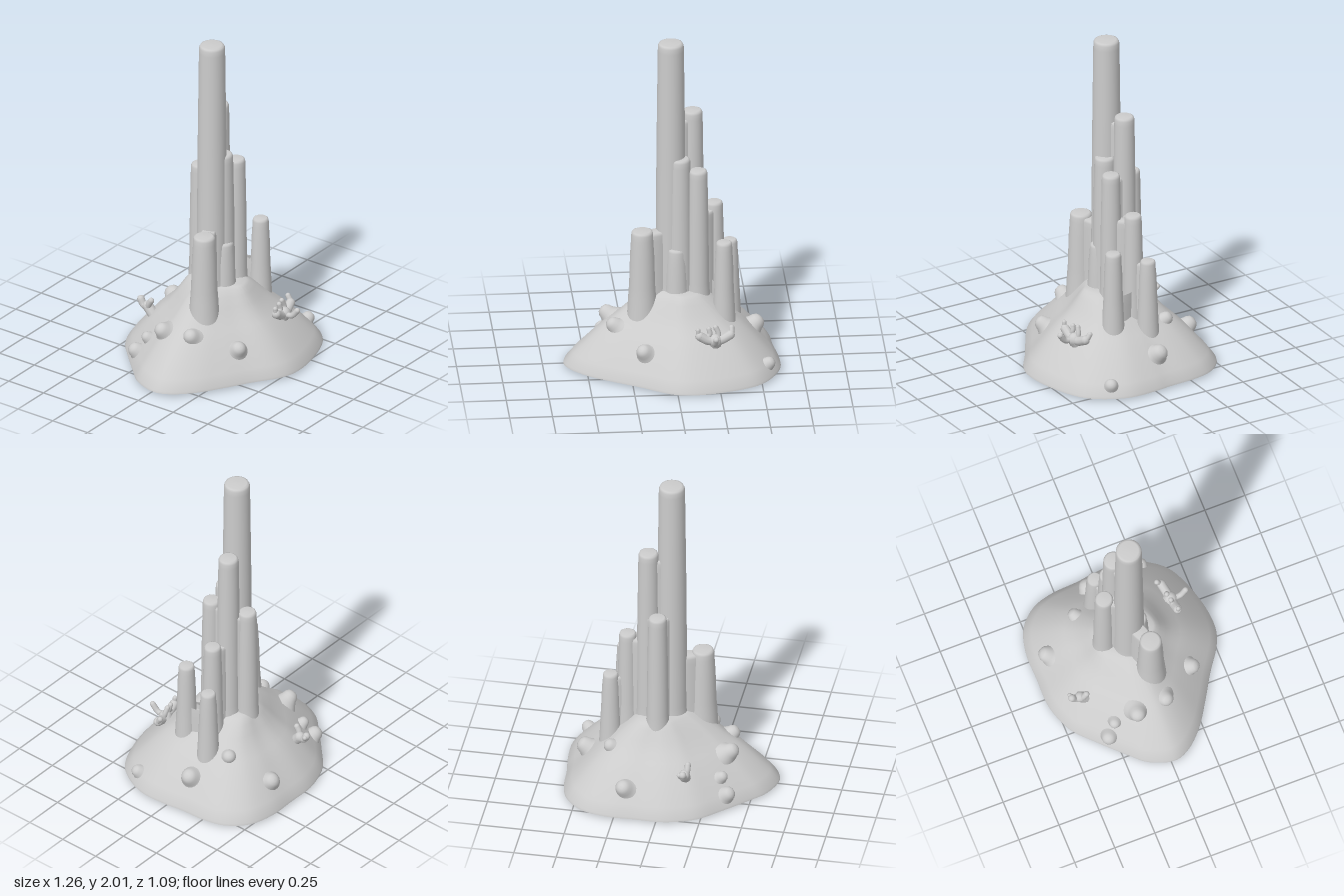
import * as THREE from 'three';
import { mergeVertices, toCreasedNormals } from 'three/addons/utils/BufferGeometryUtils.js';

const material = new THREE.MeshStandardMaterial({ color: 0xcccccc });
const V2 = (x, y) => new THREE.Vector2(x, y);
const V3 = (p) => new THREE.Vector3(...p);

function mesh(name, geometry, parent) {
  const m = new THREE.Mesh(geometry, material);
  m.name = name;
  parent.add(m);
  return m;
}

// Spreading mound: each ring is the irregular foot outline, shrunk toward the top
function moundGeometry() {
  const outline = [
    [0.05, 0.54], [0.2, 0.53], [0.4, 0.47], [0.5, 0.41], [0.58, 0.3], [0.625, 0.17], [0.62, 0],
    [0.605, -0.1], [0.59, -0.28], [0.55, -0.4], [0.45, -0.5], [0.3, -0.543], [0.13, -0.543],
    [-0.03, -0.543], [-0.13, -0.52], [-0.24, -0.47], [-0.35, -0.37], [-0.5, -0.22], [-0.58, -0.13],
    [-0.63, 0.02], [-0.6, 0.11], [-0.5, 0.22], [-0.35, 0.32], [-0.2, 0.41], [-0.05, 0.51],
  ];
  const segments = 112;
  const curve = new THREE.CatmullRomCurve3(outline.map(([x, z]) => V3([x, 0, z])), true);
  const ring = curve.getPoints(segments);
  // x scale, z scale, height
  const rows = [
    [0, 0, 0], [1, 1, 0], [0.995, 0.995, 0.012], [0.92, 0.92, 0.07], [0.81, 0.81, 0.14],
    [0.7, 0.7, 0.212], [0.6, 0.6, 0.265], [0.52, 0.52, 0.305], [0.43, 0.44, 0.36],
    [0.33, 0.38, 0.41], [0.26, 0.34, 0.44], [0.22, 0.31, 0.453], [0.16, 0.24, 0.457], [0, 0, 0.457],
  ];
  const geo = new THREE.LatheGeometry(rows.map((r) => V2(r[1], r[2])), segments);
  const pos = geo.attributes.position;
  for (let i = 0; i < pos.count; i++) {
    const p = ring[Math.floor(i / rows.length)];
    const [sx, sz, y] = rows[i % rows.length];
    pos.setXYZ(i, p.x * sx + 0.05 * (1 - sx), y, p.z * sz - 0.02 * (1 - sz));
  }
  geo.deleteAttribute('uv');
  geo.deleteAttribute('normal');
  return toCreasedNormals(mergeVertices(geo), 0.8);
}

// Round-topped column, widening downward and flaring into the mound
function columnGeometry(r, height, flare = 1) {
  const foot = 0.2;
  const at = (y, k) => V2(r * k, y);
  const mid = 0.5 + (height - 0.5) * 0.55;
  const base = 1 + 0.28 * flare;
  return new THREE.LatheGeometry([
    at(foot, base + 0.25 * flare), at(0.34, base + 0.08 * flare), at(0.43, base), at(0.5, 1 + 0.2 * flare),
    at(mid, 1 + 0.12 * flare), at(height - 0.05, 1.02), at(height - 0.018, 1),
    at(height - 0.005, 0.92), at(height, 0.76), V2(0, height + 0.001),
  ], 32);
}

// Rounded tube branch with ball ends
function branch(name, points, r, parent) {
  const path = new THREE.CatmullRomCurve3(points.map(V3));
  mesh(name, new THREE.TubeGeometry(path, 14, r, 10), parent);
  for (const p of [points[0], points[points.length - 1]]) {
    mesh(name + 'Tip', new THREE.SphereGeometry(r, 10, 8), parent).position.set(...p);
  }
}

export function createModel() {
  const model = new THREE.Group();
  model.name = 'rockSpire';
  mesh('mound', moundGeometry(), model);

  // Columns: x, z, radius, height
  const columns = new THREE.Group();
  columns.name = 'columns';
  model.add(columns);
  const spots = {
    main: [0, -0.02, 0.075, 2],
    tall: [0.13, -0.065, 0.058, 1.55],
    front: [0.155, 0.04, 0.053, 1.21],
    back: [0.06, -0.15, 0.053, 1.16],
    side: [0.255, -0.05, 0.05, 0.97],
    left: [-0.172, 0.05, 0.064, 0.84],
    outerFront: [0.3, 0.11, 0.047, 0.78],
    outerSide: [0.348, -0.095, 0.045, 0.705],
    innerButtress: [0.05, 0.02, 0.06, 1.28],
    frontButtress: [0.03, 0.045, 0.055, 0.72],
  };
  for (const [name, [x, z, r, h]] of Object.entries(spots)) {
    mesh(name + 'Column', columnGeometry(r, h), columns).position.set(x, 0, z);
  }

  // Webs fill the clefts between neighbouring columns
  const webs = [
    ['left', 'main', 0.82], ['main', 'back', 1.13], ['main', 'tall', 1.5], ['tall', 'back', 1.13],
    ['tall', 'front', 1.18], ['tall', 'side', 0.94], ['side', 'outerSide', 0.68],
    ['main', 'front', 1.18], ['side', 'front', 0.93], ['outerFront', 'side', 0.46],
  ];
  for (const [a, b, h] of webs) {
    const [ax, az, ar] = spots[a];
    const [bx, bz, br] = spots[b];
    const r = 0.7 * Math.min(ar, br);
    const web = mesh('columnWeb', columnGeometry(r, h, 0.6), columns);
    web.position.set((ax + bx) / 2, 0, (az + bz) / 2);
    web.rotation.y = -Math.atan2(bz - az, bx - ax);
    web.scale.x = Math.max(1, Math.hypot(bx - ax, bz - az) / 2 / r);
  }

  // Knobs leaning out of the slope: x, y, z, size
  const knobs = [
    [-0.37, 0.065, -0.285, 1], [-0.33, 0.15, -0.235, 0.75], [-0.355, 0.245, -0.105, 1.05],
    [-0.33, 0.25, 0.075, 1], [-0.175, 0.17, 0.295, 1], [0.54, 0.06, 0.265, 0.85],
    [0.485, 0.16, -0.08, 1.15], [0.315, 0.28, -0.225, 0.9], [0.2, 0.14, -0.44, 1.1],
  ];
  const knobGeometry = new THREE.LatheGeometry([
    V2(0.075, -0.03), V2(0.057, -0.006), V2(0.046, 0.014), V2(0.04, 0.034),
    V2(0.028, 0.05), V2(0.013, 0.056), V2(0, 0.057),
  ], 20);
  for (const [x, y, z, size] of knobs) {
    const knob = mesh('knob', knobGeometry, model);
    knob.position.set(x, y, z);
    knob.scale.setScalar(size);
    const out = V3([x - 0.05, 0, z]).normalize().setY(0.9).normalize();
    knob.quaternion.setFromUnitVectors(V3([0, 1, 0]), out);
  }

  // Branching coral on the front slope
  const frontCoral = new THREE.Group();
  frontCoral.name = 'frontCoral';
  model.add(frontCoral);
  branch('stem', [[0.23, 0.2, 0.3], [0.23, 0.25, 0.33]], 0.04, frontCoral);
  branch('arm', [[0.14, 0.285, 0.34], [0.19, 0.255, 0.335], [0.26, 0.25, 0.325], [0.32, 0.275, 0.31]], 0.027, frontCoral);
  branch('prong', [[0.155, 0.28, 0.34], [0.135, 0.295, 0.34], [0.13, 0.322, 0.34]], 0.014, frontCoral);
  branch('prong', [[0.18, 0.265, 0.33], [0.2, 0.29, 0.325], [0.195, 0.32, 0.32]], 0.015, frontCoral);
  branch('prong', [[0.25, 0.26, 0.32], [0.25, 0.29, 0.315], [0.235, 0.325, 0.31]], 0.015, frontCoral);
  branch('prong', [[0.29, 0.27, 0.31], [0.325, 0.28, 0.305], [0.33, 0.31, 0.285]], 0.016, frontCoral);
  branch('prong', [[0.225, 0.25, 0.34], [0.225, 0.255, 0.39], [0.23, 0.295, 0.425]], 0.017, frontCoral);

  // Small forked coral on the back slope
  const backCoral = new THREE.Group();
  backCoral.name = 'backCoral';
  model.add(backCoral);
  branch('stem', [[-0.14, 0.19, -0.34], [-0.14, 0.235, -0.38]], 0.032, backCoral);
  branch('prong', [[-0.145, 0.225, -0.37], [-0.14, 0.235, -0.41], [-0.14, 0.265, -0.43]], 0.022, backCoral);
  branch('prong', [[-0.15, 0.23, -0.37], [-0.155, 0.26, -0.36], [-0.155, 0.285, -0.345]], 0.018, backCoral);
  branch('prong', [[-0.14, 0.24, -0.405], [-0.125, 0.255, -0.43], [-0.12, 0.265, -0.435]], 0.014, backCoral);
  return model;
}
